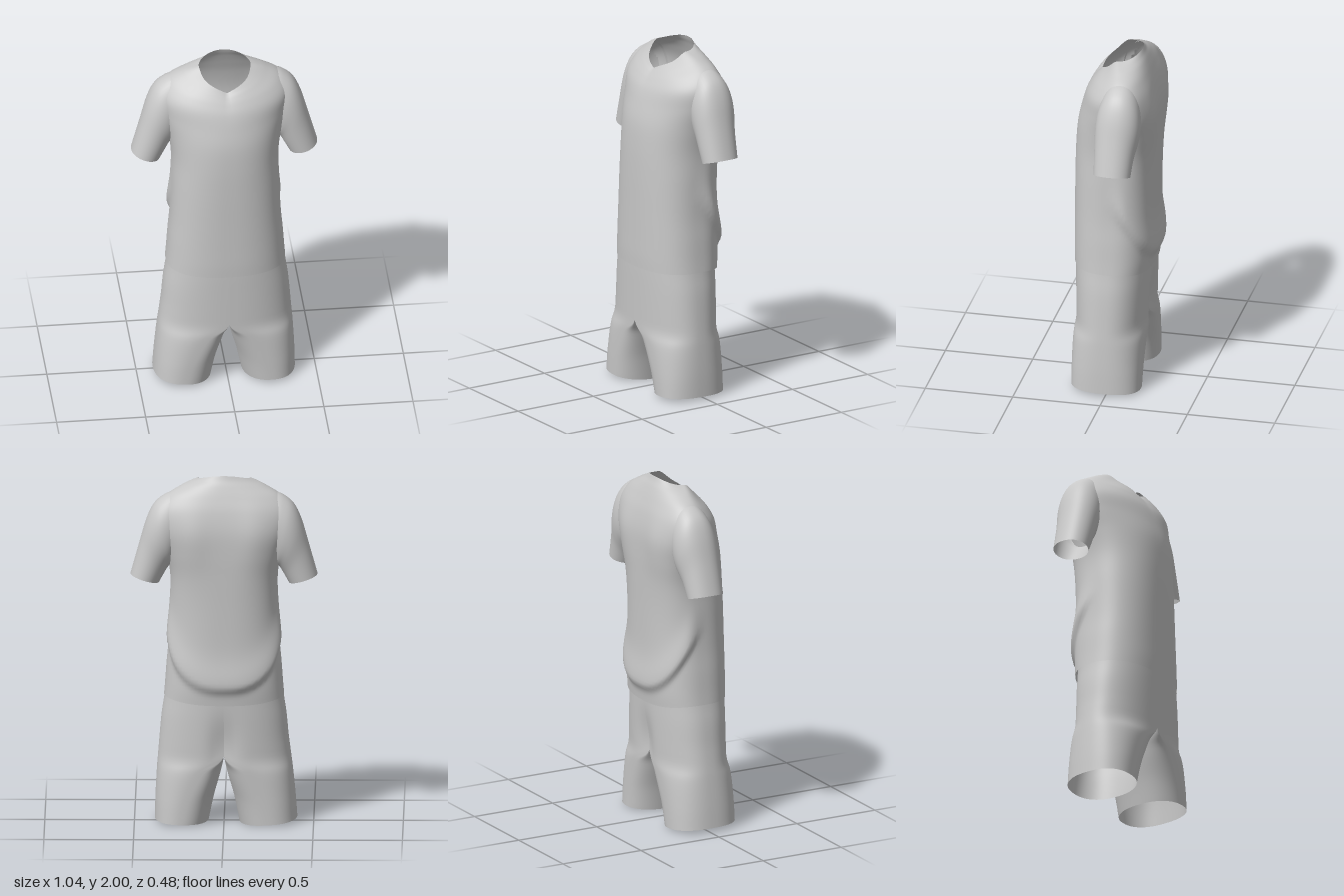
import * as THREE from 'three';

const fabric = new THREE.MeshStandardMaterial({ color: 0xc8c8c8, side: THREE.DoubleSide });
fabric.name = 'light grey fabric';

const STEPS = 6; // rows between two key sections
const spow = (v, e) => Math.sign(v) * Math.abs(v) ** e;
const gauss = (d, w) => Math.exp(-(d * d) / (w * w));

// Smoothly interpolate a row of numbers between key sections
function sample(keys, row) {
  const i = Math.min(Math.floor(row / STEPS), keys.length - 2);
  const t = row / STEPS - i;
  const k = (j) => keys[THREE.MathUtils.clamp(j, 0, keys.length - 1)];
  return keys[0].map((_, c) => {
    const p0 = k(i - 1)[c], p1 = k(i)[c], p2 = k(i + 1)[c], p3 = k(i + 2)[c];
    const m1 = (p2 - p0) / 2, m2 = (p3 - p1) / 2;
    return p1 + m1 * t + (3 * (p2 - p1) - 2 * m1 - m2) * t * t + (2 * (p1 - p2) + m1 + m2) * t ** 3;
  });
}

// Loft closed rings through key sections; place() puts one point of a ring,
// skip() leaves out faces by row, column and first corner
function loft(name, keys, cols, place, flip = false, skip = () => false) {
  const rows = (keys.length - 1) * STEPS;
  const pos = [], index = [];
  for (let r = 0; r <= rows; r++) {
    const section = sample(keys, r);
    for (let c = 0; c < cols; c++) {
      const a = (c / cols) * Math.PI * 2;
      pos.push(...place(section, Math.cos(a), Math.sin(a), r));
    }
  }
  for (let r = 0; r < rows; r++) {
    for (let c = 0; c < cols; c++) {
      const a = r * cols + c, b = r * cols + ((c + 1) % cols);
      const d = a + cols, e = b + cols;
      if (skip(r, c, pos.slice(a * 3, a * 3 + 3))) continue;
      if (flip) index.push(a, b, d, b, e, d);
      else index.push(a, d, b, b, d, e);
    }
  }
  const geo = new THREE.BufferGeometry();
  geo.setAttribute('position', new THREE.Float32BufferAttribute(pos, 3));
  geo.setIndex(index);
  geo.computeVertexNormals();
  const mesh = new THREE.Mesh(geo, fabric);
  mesh.name = name;
  return mesh;
}

// Shirt body, hem to collar: side y, front y, back y, half width, front z, back z, side z,
// front roundness, back roundness
function shirtBody() {
  const keys = [
    [0.73, 0.725, 0.70, 0.335, 0.238, -0.208, 0.0, 0.82, 0.8],
    [0.80, 0.80, 0.78, 0.329, 0.24, -0.216, 0.0, 0.82, 0.8],
    [0.91, 0.91, 0.90, 0.321, 0.24, -0.219, 0.0, 0.82, 0.8],
    [1.05, 1.05, 1.05, 0.309, 0.24, -0.222, 0.0, 0.82, 0.8],
    [1.25, 1.25, 1.25, 0.302, 0.24, -0.225, -0.01, 0.84, 0.8],
    [1.42, 1.42, 1.42, 0.300, 0.237, -0.229, -0.03, 0.86, 0.75],
    [1.56, 1.56, 1.56, 0.322, 0.227, -0.232, -0.05, 0.92, 0.68],
    [1.69, 1.67, 1.69, 0.355, 0.203, -0.229, -0.06, 1, 0.63],
    [1.80, 1.75, 1.80, 0.365, 0.178, -0.210, -0.065, 1, 0.68],
    [1.88, 1.80, 1.88, 0.318, 0.15, -0.184, -0.065, 1, 0.8],
    [1.93, 1.832, 1.94, 0.240, 0.125, -0.16, -0.05, 1, 0.9],
    [1.955, 1.848, 1.975, 0.187, 0.108, -0.143, -0.035, 1, 1],
    [1.97, 1.857, 2.0, 0.145, 0.098, -0.133, -0.025, 1, 1],
  ];
  const place = ([ys, yf, yb, hw, zf, zb, cz, ef, eb], c, s) => {
    const e = s > 0 ? ef : eb;
    const c1 = Math.abs(c);
    let x = hw * spow(c, e);
    let z = cz + (s > 0 ? zf - cz : cz - zb) * spow(s, e);
    // V neck in front, raised collar behind
    const y = s > 0 ? yf + (ys - yf) * (0.6 * c1 + 0.4 * c1 ** 10) : ys + (yb - ys) * s * s;
    // hanging fold that sweeps from the sides to the small of the back
    const d = y - (0.81 + 0.36 * (1 - Math.max(0, -s)));
    const fold = 0.025 * THREE.MathUtils.smoothstep(-s, -0.1, 0.35) * gauss(d, d > 0 ? 0.13 : 0.035);
    x += fold * c;
    z += fold * s;
    // shoulder blades
    if (s < 0) z -= 0.012 * gauss(Math.abs(x) - 0.17, 0.09) * gauss(y - 1.66, 0.17);
    return [x, y, z];
  };
  // openings where the sleeves join
  const armhole = (r, c, [x, y, z]) =>
    Math.abs(x) > 0.27 && ((y - 1.69) / 0.15) ** 2 + ((z + 0.065) / 0.095) ** 2 < 1;
  return loft('shirtBody', keys, 96, place, false, armhole);
}

// Sleeve, armhole to cuff: outer x, outer y, inner x, inner y, half depth, centre z
function sleeve(side) {
  const keys = [
    [0.275, 1.903, 0.285, 1.52, 0.115, -0.068],
    [0.33, 1.882, 0.29, 1.50, 0.122, -0.069],
    [0.388, 1.833, 0.295, 1.488, 0.126, -0.068],
    [0.432, 1.745, 0.312, 1.47, 0.123, -0.065],
    [0.474, 1.60, 0.335, 1.43, 0.112, -0.058],
    [0.522, 1.428, 0.362, 1.38, 0.104, -0.055],
  ];
  return loft(side > 0 ? 'leftSleeve' : 'rightSleeve', keys, 48, ([ox, oy, ix, iy, hd, cz], c, s) => [
    side * ((ox + ix) / 2 + ((ox - ix) / 2) * c),
    (oy + iy) / 2 + ((oy - iy) / 2) * c,
    cz + hd * spow(s, 0.9),
  ], side > 0);
}

// Half of the shorts, leg hem to waist: y, inner x, middle x, outer x, front z, back z, inner roundness
function shortsHalf(side) {
  const keys = [
    [0.015, 0.085, 0.24, 0.386, 0.218, -0.176, 0.9],
    [0.15, 0.056, 0.21, 0.383, 0.221, -0.179, 0.8],
    [0.30, 0.016, 0.14, 0.375, 0.223, -0.184, 0.62],
    [0.40, 0, 0, 0.367, 0.225, -0.190, 0.6],
    [0.60, 0, 0, 0.350, 0.229, -0.197, 0.6],
    [0.74, 0, 0, 0.330, 0.231, -0.200, 0.6],
    [0.92, 0, 0, 0.310, 0.230, -0.205, 0.6],
  ];
  const cols = 96, crotchRow = 3 * STEPS;
  return loft(side > 0 ? 'leftShortsLeg' : 'rightShortsLeg', keys, cols, ([y, xi, xm, xo, zf, zb, ei], c, s, r) => {
    if (r >= crotchRow) xi = xm = 0;
    const low = Math.max(0, 1 - y / 0.5);
    const outer = xo + (side < 0 ? 0.023 * low : 0);
    const e = c > 0 ? 0.84 : ei;
    const x = xm + (c > 0 ? outer - xm : xm - xi) * spow(c, e);
    // seat seam drawn inwards above the crotch
    const pinch = s < 0 ? 0.03 * gauss(x, 0.07) * gauss(y - 0.45, 0.16) : 0;
    const z = (zf + zb) / 2 + ((zf - zb) / 2 - pinch) * spow(s, e);
    // slightly slanted leg hem
    const hem = Math.max(0, 1 - r / STEPS) * ((side < 0 ? 0.012 : 0.004) * c + 0.004 * s);
    return [side * x, y + hem, z];
  }, side < 0, (r, c) => r >= crotchRow && c >= cols / 4 && c < (3 * cols) / 4);
}

export function createModel() {
  const model = new THREE.Group();
  model.name = 'shirtAndShorts';
  const shirt = new THREE.Group();
  shirt.name = 'shirt';
  const shorts = new THREE.Group();
  shorts.name = 'shorts';
  shirt.add(shirtBody());
  for (const side of [1, -1]) {
    shirt.add(sleeve(side));
    shorts.add(shortsHalf(side));
  }
  model.add(shirt, shorts);
  return model;
}
